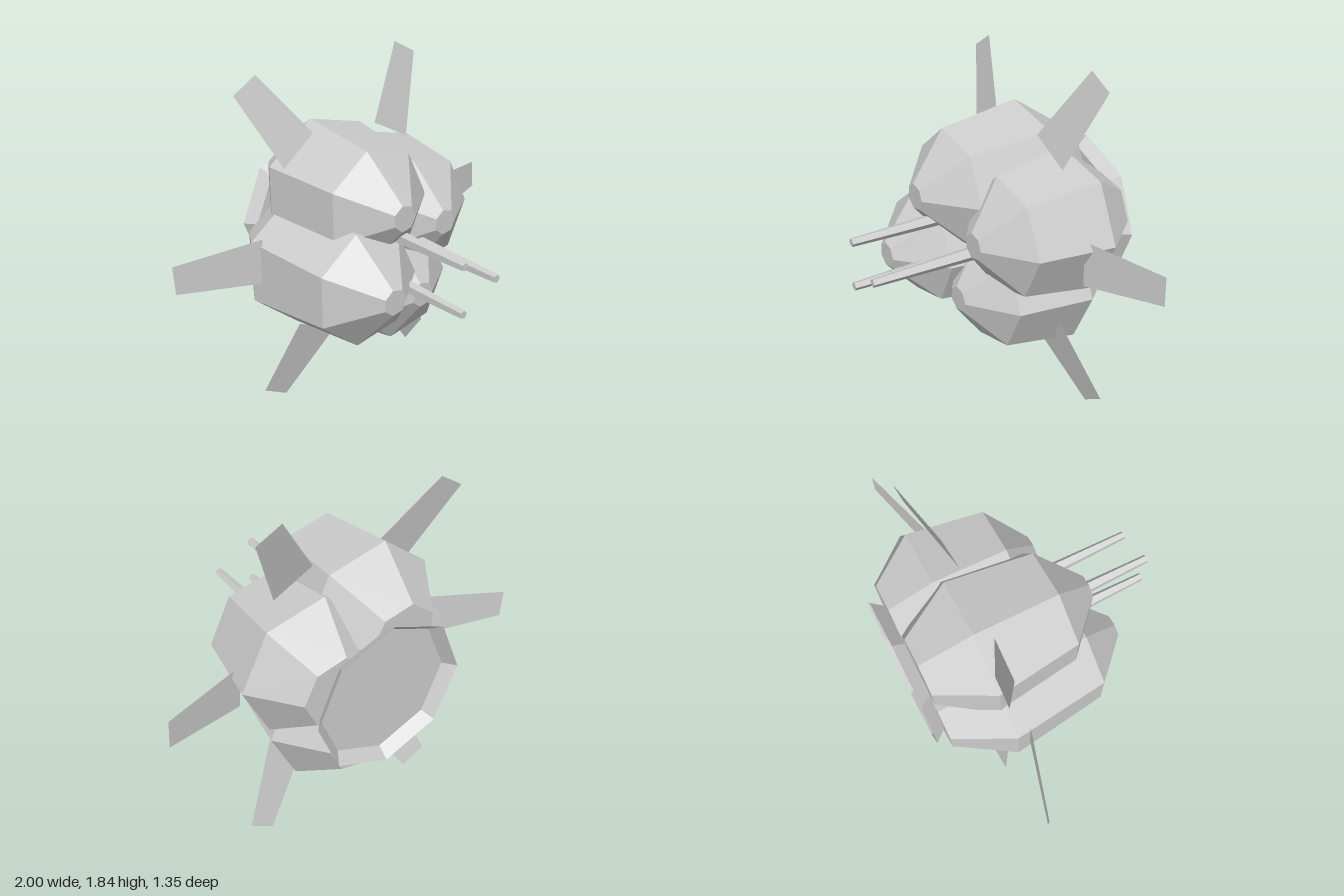
import * as THREE from 'three';

const CY = 0.925; // height of the central axis
const solid = new THREE.MeshStandardMaterial({ color: 0xcccccc, flatShading: true });
const thin = new THREE.MeshStandardMaterial({ color: 0xcccccc, flatShading: true, side: THREE.DoubleSide });

// Faceted body turned around the z axis; profile is [radius, z] from back to front
function turned(name, profile, sides, x, y, material) {
  const points = profile.map(([r, z]) => new THREE.Vector2(r, z));
  const geometry = new THREE.LatheGeometry(points, sides, Math.PI / 2).rotateX(Math.PI / 2);
  const mesh = new THREE.Mesh(geometry, material);
  mesh.name = name;
  mesh.position.set(x, y, 0);
  return mesh;
}

// Thin tapered blade pointing along +x and swept backwards
function finGeometry() {
  const inner = 0.56, outer = 0.996;
  const geometry = new THREE.BufferGeometry();
  geometry.setAttribute('position', new THREE.Float32BufferAttribute([
    inner, -0.12, -0.245, outer, -0.075, -0.37,
    outer, 0.075, -0.37, inner, 0.12, -0.245,
  ], 3));
  geometry.setIndex([0, 1, 2, 0, 2, 3]);
  geometry.computeVertexNormals();
  return geometry;
}

export function createModel() {
  const model = new THREE.Group();
  model.name = 'podCluster';

  // Four overlapping seven-sided pods: x, y, tip z, shoulder z, widest z
  const pods = [
    ['upperPod', -0.11, 1.18, 0.3, 0.1, -0.34],
    ['leftPod', 0.255, 1.035, 0.19, 0.015, -0.38],
    ['rightPod', -0.25, 0.82, 0.4, 0.19, -0.32],
    ['lowerPod', 0.11, 0.67, 0.19, 0.015, -0.38],
  ];
  for (const [name, x, y, tip, shoulder, widest] of pods) {
    const profile = [[0, -0.61], [0.185, -0.61], [0.37, widest], [0.305, shoulder], [0.068, tip], [0, tip]];
    model.add(turned(name, profile, 7, x, y, solid));
  }

  // Shallow flared dish at the back
  model.add(turned('rearDish', [[0.41, -0.675], [0.36, -0.615], [0, -0.615]], 8, 0, CY, thin));

  // Six radial fins
  const blade = finGeometry();
  for (let i = 0; i < 6; i++) {
    const fin = new THREE.Mesh(blade, thin);
    fin.name = `fin${i + 1}`;
    fin.position.y = CY;
    fin.rotation.z = THREE.MathUtils.degToRad(3 + 60 * i);
    model.add(fin);
  }

  // Three slender prongs at the front
  for (let i = 0; i < 3; i++) {
    const a = (i * Math.PI * 2) / 3;
    const profile = [[0, -0.1], [0.043, -0.1], [0.022, 0.675], [0, 0.675]];
    model.add(turned(`prong${i + 1}`, profile, 5, 0.14 * Math.cos(a), CY + 0.003 + 0.14 * Math.sin(a), solid));
  }

  return model;
}
